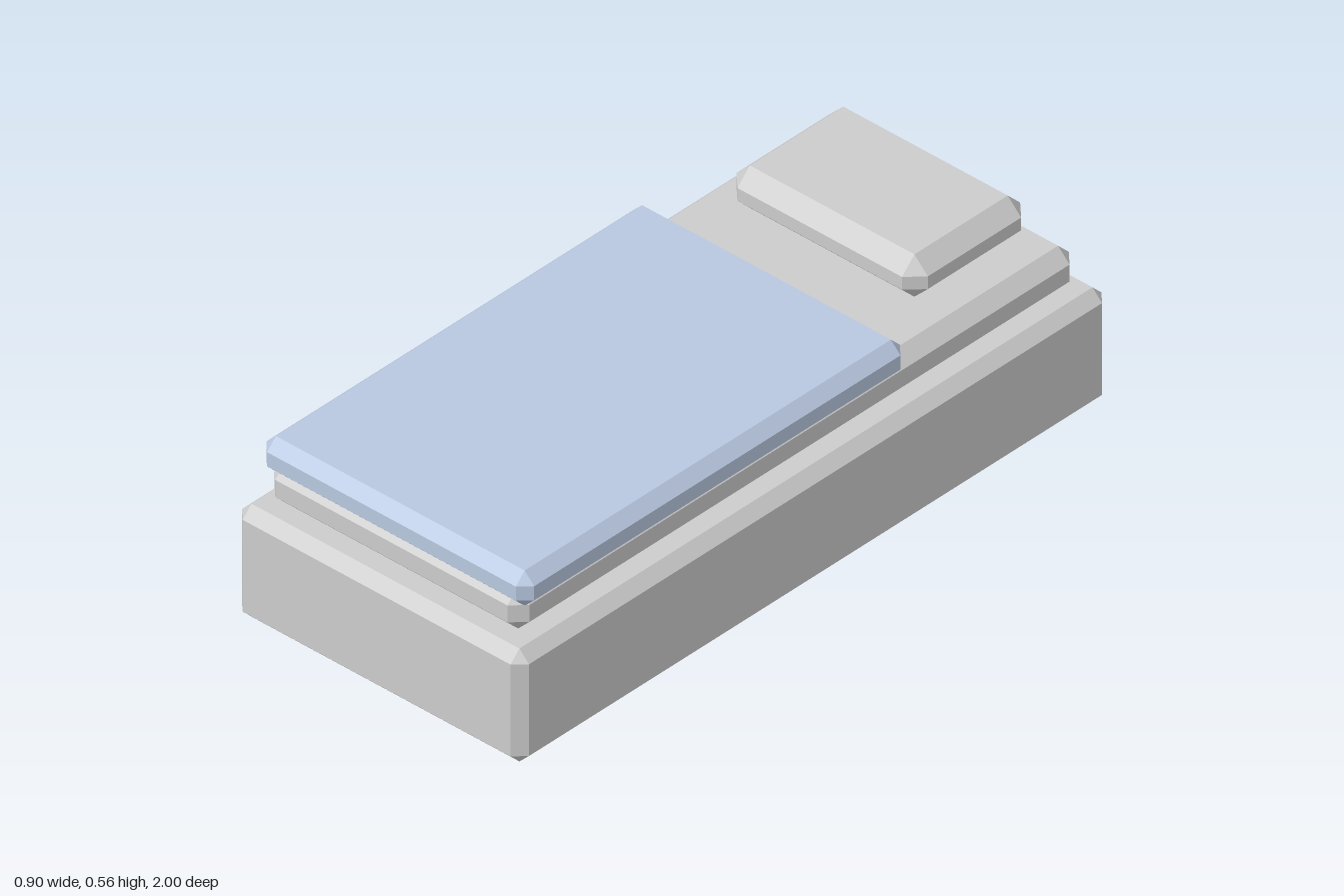
import * as THREE from 'three';
import { ConvexGeometry } from 'three/addons/geometries/ConvexGeometry.js';

// Box with every edge bevelled by c: 24 corner points wrapped in a convex hull
function chamferBox(w, h, d, c) {
  const points = [];
  for (const sx of [-1, 1]) for (const sy of [-1, 1]) for (const sz of [-1, 1]) {
    const x = w / 2, y = h / 2, z = d / 2;
    points.push(
      new THREE.Vector3(sx * x, sy * (y - c), sz * (z - c)),
      new THREE.Vector3(sx * (x - c), sy * y, sz * (z - c)),
      new THREE.Vector3(sx * (x - c), sy * (y - c), sz * z)
    );
  }
  return new ConvexGeometry(points);
}

export function createModel() {
  const group = new THREE.Group();
  group.name = 'bed';
  const grey = new THREE.MeshStandardMaterial({ color: 0xcccccc, flatShading: true });
  const blue = new THREE.MeshStandardMaterial({ color: 0xb8c8e0, flatShading: true });

  // Each slab: width, height, depth, bevel, bottom y, centre z
  function slab(name, w, h, d, bevel, bottom, z, material) {
    const mesh = new THREE.Mesh(chamferBox(w, h, d, bevel), material);
    mesh.name = name;
    mesh.position.set(0, bottom + h / 2, z);
    group.add(mesh);
  }

  slab('bedBase', 0.9, 0.32, 2, 0.03, 0, 0, grey);
  slab('mattress', 0.8, 0.12, 1.9, 0.036, 0.32, 0, grey);
  slab('blanket', 0.84, 0.1, 1.3, 0.03, 0.4, 0.3, blue);
  slab('pillow', 0.6, 0.12, 0.4, 0.042, 0.44, -0.7, grey);
  return group;
}
